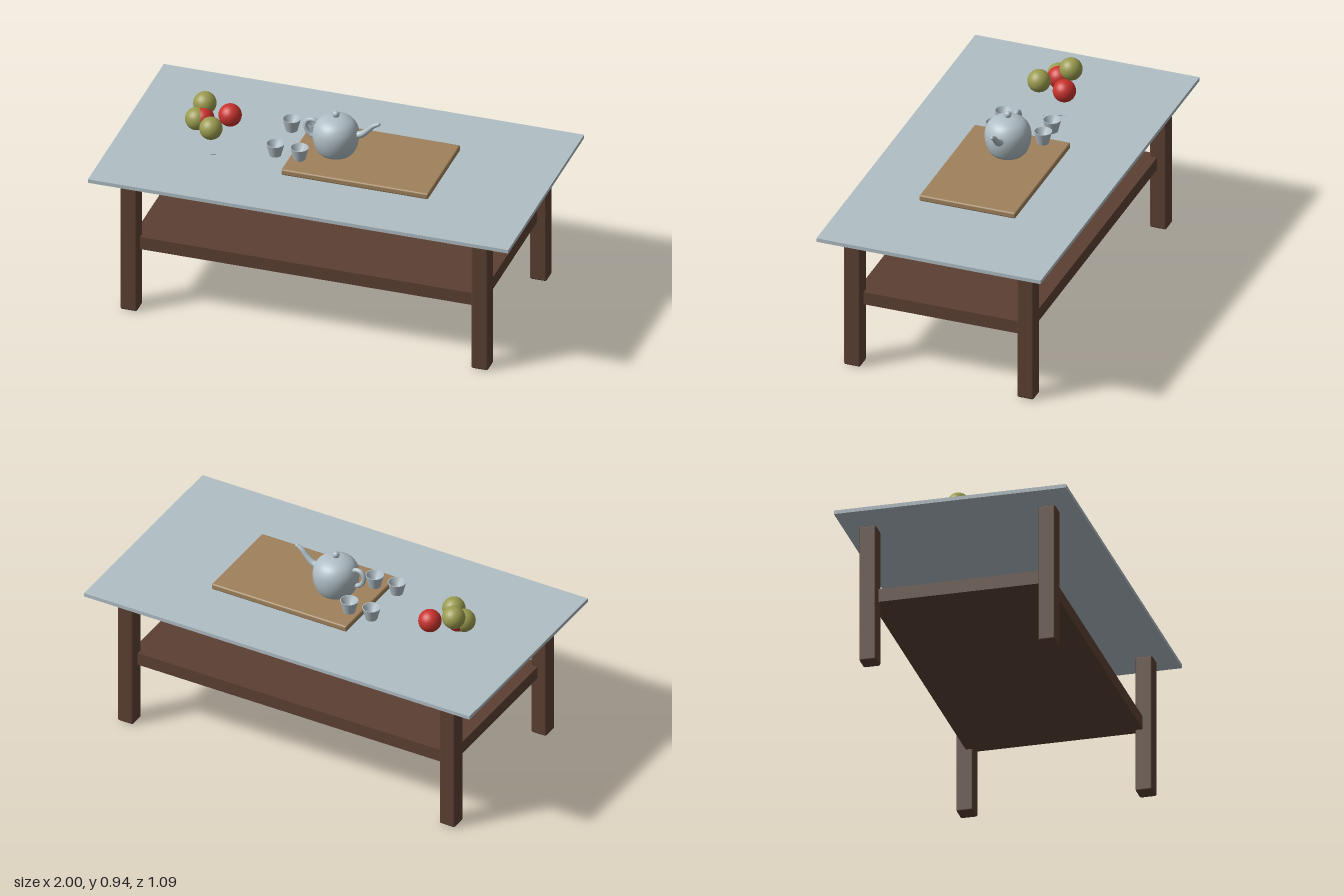
import * as THREE from 'three';
import { RoundedBoxGeometry } from 'three/addons/geometries/RoundedBoxGeometry.js';

const material = (name, color) => {
  const m = new THREE.MeshStandardMaterial({ color });
  m.name = name;
  return m;
};

export function createModel() {
  const darkWood = material('darkWood', 0x5c4033);
  const lightWood = material('lightWood', 0xa0825c);
  const glass = material('paleGlass', 0xb0bec5);
  const red = material('redFruit', 0xc8322d);
  const green = material('greenFruit', 0x9a9b4f);

  const model = new THREE.Group();
  model.name = 'coffeeTable';
  const add = (parent, name, geometry, mat, x = 0, y = 0, z = 0) => {
    const mesh = new THREE.Mesh(geometry, mat);
    mesh.name = name;
    mesh.position.set(x, y, z);
    parent.add(mesh);
    return mesh;
  };
  const group = (name, x, y, z) => {
    const g = new THREE.Group();
    g.name = name;
    g.position.set(x, y, z);
    model.add(g);
    return g;
  };
  const points = (list) => list.map(([x, y]) => new THREE.Vector2(x, y));

  // Table: thin glass sheet floating just above four legs, with a lower shelf
  add(model, 'glassTop', new THREE.BoxGeometry(2, 0.018, 1.085), glass, 0, 0.694, 0);
  for (const sx of [-1, 1]) {
    for (const sz of [-1, 1]) {
      add(model, 'leg', new RoundedBoxGeometry(0.08, 0.668, 0.08, 2, 0.009), darkWood,
        sx * 0.835, 0.334, sz * 0.419);
    }
  }
  add(model, 'shelf', new THREE.BoxGeometry(1.66, 0.063, 0.828), darkWood, 0, 0.336, 0);

  // Wooden serving board
  add(model, 'servingBoard', new RoundedBoxGeometry(0.7, 0.03, 0.465, 2, 0.008), lightWood,
    0.165, 0.718, 0);

  // Flat-topped fruit plate
  add(model, 'fruitPlate', new THREE.CylinderGeometry(0.215, 0.165, 0.03, 64), glass,
    -0.585, 0.718, 0);

  // Fruit pile
  const fruit = new THREE.SphereGeometry(0.053, 32, 20);
  [
    [green, -0.66, 0.787, 0.008],
    [green, -0.572, 0.787, 0.07],
    [green, -0.643, 0.836, -0.057],
    [red, -0.527, 0.787, -0.07],
    [red, -0.635, 0.787, -0.003],
  ].forEach(([mat, x, y, z]) => add(model, 'fruit', fruit, mat, x, y, z));

  // Teapot body, built from a smooth profile
  const pot = group('teapot', 0, 0.733, 0);
  const side = new THREE.SplineCurve(points([
    [0.074, 0], [0.089, 0.018], [0.102, 0.055], [0.106, 0.093],
    [0.1, 0.127], [0.08, 0.158], [0.045, 0.177], [0, 0.184],
  ])).getPoints(32);
  side[side.length - 1].x = 0;
  add(pot, 'body', new THREE.LatheGeometry(side, 48), glass);
  add(pot, 'base', new THREE.CylinderGeometry(0.074, 0.074, 0.002, 48), glass, 0, 0.001, 0);
  add(pot, 'knobStem', new THREE.CylinderGeometry(0.008, 0.012, 0.016, 24), glass, 0, 0.186, 0);
  add(pot, 'knob', new THREE.SphereGeometry(0.016, 24, 16), glass, 0, 0.195, 0);

  // Swept tube whose radius shrinks from r0 to r1 along the path
  const taperedTube = (path, r0, r1, segments = 32, sides = 16) => {
    const curve = new THREE.CatmullRomCurve3(path.map(([x, y]) => new THREE.Vector3(x, y, 0)));
    const geometry = new THREE.TubeGeometry(curve, segments, 1, sides, false);
    const pos = geometry.attributes.position;
    const v = new THREE.Vector3();
    for (let i = 0; i <= segments; i++) {
      const t = i / segments;
      const centre = curve.getPointAt(t);
      const r = r0 + (r1 - r0) * t;
      for (let j = 0; j <= sides; j++) {
        const k = i * (sides + 1) + j;
        v.fromBufferAttribute(pos, k).sub(centre).multiplyScalar(r).add(centre);
        pos.setXYZ(k, v.x, v.y, v.z);
      }
    }
    geometry.computeVertexNormals();
    return geometry;
  };
  add(pot, 'spout', taperedTube(
    [[0.08, 0.102], [0.118, 0.11], [0.15, 0.136], [0.175, 0.162], [0.202, 0.178]], 0.019, 0.009), glass);
  add(pot, 'spoutTip', new THREE.SphereGeometry(0.009, 16, 12), glass, 0.202, 0.178, 0);
  add(pot, 'handle', taperedTube(
    [[-0.085, 0.132], [-0.105, 0.145], [-0.13, 0.142], [-0.144, 0.12],
      [-0.14, 0.092], [-0.122, 0.068], [-0.09, 0.058]], 0.011, 0.011), glass);

  // Four small tapered cups, open at the top; doubled points keep the rims crisp
  const cupProfile = points([
    [0, 0], [0.027, 0], [0.027, 0], [0.042, 0.06], [0.042, 0.06],
    [0.038, 0.06], [0.038, 0.06], [0.012, 0.012], [0, 0.012],
  ]);
  const cup = new THREE.LatheGeometry(cupProfile, 32);
  for (const x of [-0.25, -0.135]) {
    for (const z of [-0.117, 0.117]) add(model, 'cup', cup, glass, x, 0.734, z);
  }

  return model;
}
